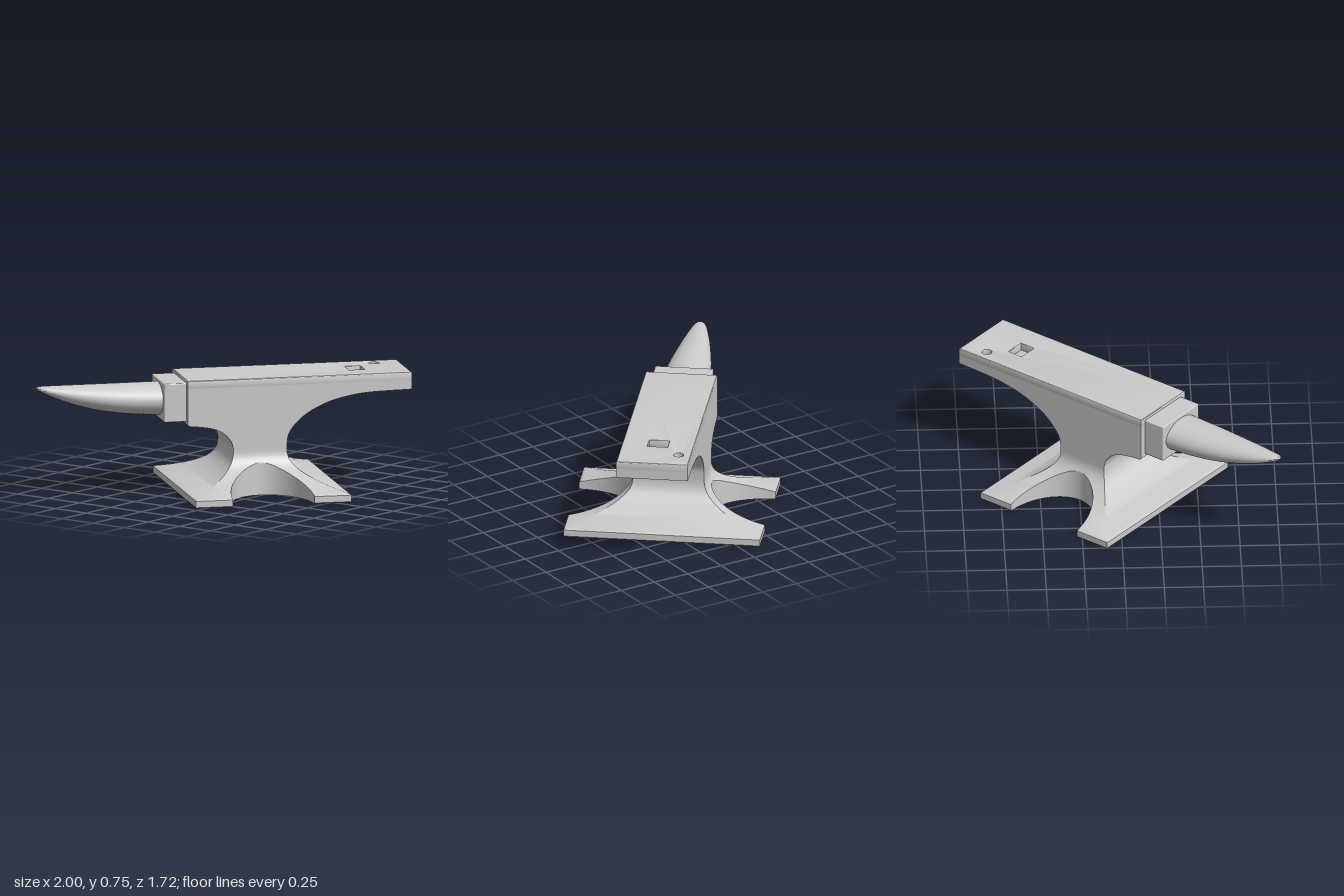
import * as THREE from 'three';
import { toCreasedNormals } from 'three/addons/utils/BufferGeometryUtils.js';
import { RoundedBoxGeometry } from 'three/addons/geometries/RoundedBoxGeometry.js';

const material = new THREE.MeshStandardMaterial({ color: 0xcccccc });
const HALF_WIDTH = 0.229; // body and face
const WAIST = 0.174; // half length at the waist
const WAIST_Y = 0.3;
const HEEL = 0.99, FRONT = -0.471; // ends of the face
const FACE_Y = 0.75, FACE_THICKNESS = 0.05;

function part(name, geometry, crease = 0.5) {
  const mesh = new THREE.Mesh(crease ? toCreasedNormals(geometry, crease) : geometry, material);
  mesh.name = name;
  return mesh;
}

// Skin between closed rings of equal point count
function loft(rings) {
  const n = rings[0].length;
  const index = [];
  for (let r = 0; r < rings.length - 1; r++) {
    for (let i = 0; i < n; i++) {
      const a = r * n + i, b = r * n + (i + 1) % n;
      index.push(a, a + n, b, b, a + n, b + n);
    }
  }
  const geometry = new THREE.BufferGeometry().setFromPoints(rings.flat());
  geometry.setIndex(index);
  return geometry.toNonIndexed();
}

// Horizontal foot outline: a rectangle with an elliptical notch in each long side
function footOutline(flare) {
  const a = WAIST + (0.507 - WAIST) * flare;
  const b = HALF_WIDTH + (0.63 - HALF_WIDTH) * flare;
  const start = Math.min(Math.asin(Math.min(1, (0.63 - b) / 0.375)), Math.PI / 2 - 0.05);
  const half = [new THREE.Vector2(a, b)];
  const steps = 32;
  for (let i = 0; i <= steps; i++) {
    const t = start + (Math.PI - 2 * start) * i / steps;
    half.push(new THREE.Vector2(0.266 * Math.cos(t), Math.min(b, 0.63 - 0.375 * Math.sin(t))));
  }
  half.push(new THREE.Vector2(-a, b));
  return [...half, ...half.map(p => p.clone().negate())];
}

function createFoot() {
  const foot = new THREE.Group();
  foot.name = 'foot';
  const ring = (y, flare) => footOutline(flare).map(p => new THREE.Vector3(p.x, y, p.y));
  const rings = [ring(0, 0.985), ring(0.006, 1), ring(0.047, 1)];
  const steps = 36;
  for (let i = 0; i <= steps; i++) {
    const drop = 0.248 * (1 - i / steps); // distance below the waist
    rings.push(ring(WAIST_Y - drop, Math.pow(drop / 0.25, 2.7)));
  }
  foot.add(part('flaredFoot', loft(rings)));
  const sole = new THREE.ShapeGeometry(new THREE.Shape(footOutline(0.985)));
  sole.rotateX(Math.PI / 2);
  foot.add(part('sole', sole, 0));
  return foot;
}

// Side profile from the waist up to the underside of the face plate
function createBody() {
  const v = list => list.map(([x, y]) => new THREE.Vector2(x, y));
  const top = FACE_Y - FACE_THICKNESS;
  const shape = new THREE.Shape();
  shape.moveTo(-WAIST, WAIST_Y);
  shape.lineTo(WAIST, WAIST_Y);
  shape.splineThru(v([[0.182, 0.37], [0.212, 0.425], [0.27, 0.485], [0.345, 0.535],
    [0.465, 0.587], [0.594, 0.617], [0.73, 0.633], [HEEL, 0.64]]));
  shape.lineTo(HEEL, top);
  shape.lineTo(FRONT, top);
  shape.lineTo(FRONT, 0.465);
  shape.lineTo(FRONT + 0.01, 0.456);
  shape.splineThru(v([[-0.377, 0.447], [-0.295, 0.43], [-0.235, 0.4], [-0.19, 0.35], [-WAIST, WAIST_Y]]));
  const geometry = new THREE.ExtrudeGeometry(shape, {
    depth: 2 * HALF_WIDTH, bevelEnabled: false, curveSegments: 6,
  });
  geometry.translate(0, 0, -HALF_WIDTH);
  return part('body', geometry);
}

// Face plate with a square and a round blind hole, floored by the body
function createFace() {
  const rect = (Kind, x0, x1, w) => new Kind([[x0, -w], [x1, -w], [x1, w], [x0, w]]
    .map(([x, y]) => new THREE.Vector2(x, y)));
  const shape = rect(THREE.Shape, FRONT, HEEL, HALF_WIDTH);
  shape.holes.push(rect(THREE.Path, 0.617, 0.715, 0.063));
  const round = new THREE.Path();
  round.absarc(0.826, 0.15, 0.031, 0, Math.PI * 2, true);
  shape.holes.push(round);
  const bevel = 0.007;
  const geometry = new THREE.ExtrudeGeometry(shape, {
    depth: FACE_THICKNESS - bevel, curveSegments: 24,
    bevelThickness: bevel, bevelSize: bevel, bevelOffset: -bevel, bevelSegments: 3,
  });
  geometry.rotateX(-Math.PI / 2);
  geometry.translate(0, FACE_Y - FACE_THICKNESS, 0);
  return part('facePlate', geometry);
}

// Horn: elliptical sections with a level top and a rising belly
function createHorn() {
  // x, half width, belly height
  const curve = new THREE.CatmullRomCurve3([
    [-0.6, 0.157, 0.503], [-0.75, 0.148, 0.51], [-0.9, 0.135, 0.527], [-1.04, 0.115, 0.553],
    [-1.18, 0.09, 0.593], [-1.3, 0.062, 0.639], [-1.38, 0.036, 0.677], [-1.403, 0.018, 0.69],
    [-1.41, 0.001, 0.699],
  ].map(p => new THREE.Vector3(...p)));
  const rings = [];
  const steps = 56, sides = 48;
  for (let i = 0; i <= steps; i++) {
    const t = i / steps;
    const p = curve.getPoint(t);
    const top = 0.712 - 0.012 * Math.pow(t, 10);
    const mid = (top + p.z) / 2, h = (top - p.z) / 2;
    rings.push(Array.from({ length: sides }, (_, k) => {
      const s = k / sides * Math.PI * 2;
      return new THREE.Vector3(p.x, mid + h * Math.cos(s), p.y * Math.sin(s));
    }));
  }
  return part('horn', loft(rings), 1);
}

export function createModel() {
  const anvil = new THREE.Group();
  anvil.name = 'anvil';

  // Step between the face and the horn
  const neck = part('hornStep', new RoundedBoxGeometry(0.17, 0.25, 0.374, 3, 0.008), 0);
  neck.position.set(-0.53, 0.605, 0);

  anvil.add(createFoot(), createBody(), createFace(), neck, createHorn());
  anvil.rotation.y = THREE.MathUtils.degToRad(-39.5);
  anvil.position.set(0.087, 0, 0.046);

  const model = new THREE.Group();
  model.add(anvil);
  return model;
}
